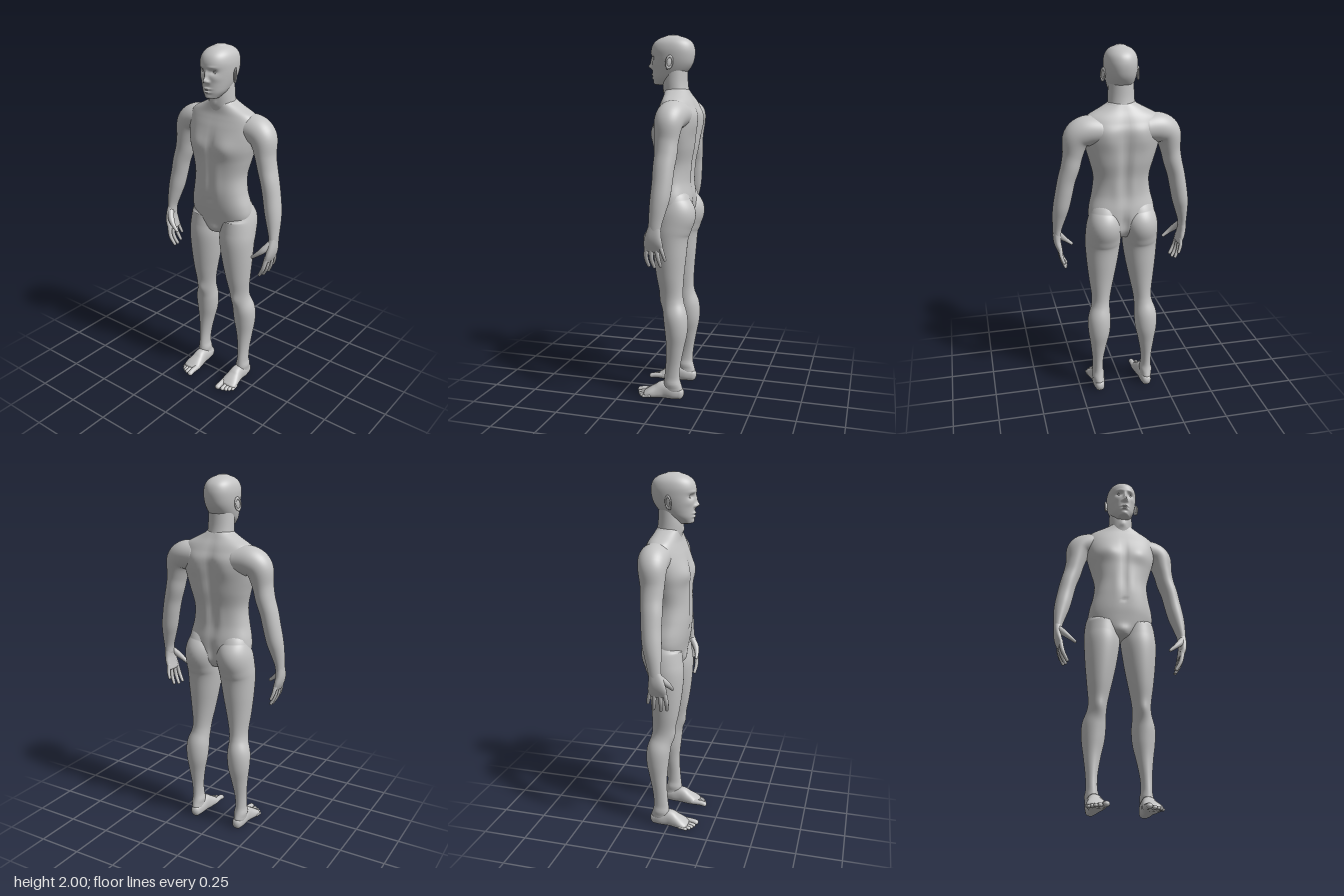
import * as THREE from 'three';
import { mergeGeometries } from 'three/addons/utils/BufferGeometryUtils.js';

const V3 = (x, y, z) => new THREE.Vector3(x, y, z);
const Y = V3(0, 1, 0), Z = V3(0, 0, 1);

// Catmull-Rom through rows of numbers
function smoothRows(rows, steps) {
  const out = [], n = rows.length, at = i => rows[Math.min(n - 1, Math.max(0, i))];
  for (let i = 0; i < n - 1; i++) {
    for (let s = 0; s < steps; s++) {
      const t = s / steps, [a, b, c, d] = [at(i - 1), at(i), at(i + 1), at(i + 2)];
      out.push(b.map((_, k) => 0.5 * (2 * b[k] + (c[k] - a[k]) * t
        + (2 * a[k] - 5 * b[k] + 4 * c[k] - d[k]) * t * t
        + (3 * b[k] - a[k] - 3 * c[k] + d[k]) * t * t * t)));
    }
  }
  out.push(rows[n - 1].slice());
  return out;
}

// Skin over cross-sections [x, y, z, side radius, depth radius] with rounded ends
function loft(rows, { ref = Z, axis = null, sides = 40, steps = 6, cap = 0.9, power = 2, shape = null } = {}) {
  const s = smoothRows(rows, steps), rings = [];
  const centre = r => V3(r[0], r[1], r[2]);
  const tangent = i => axis ? axis.clone()
    : centre(s[Math.min(s.length - 1, i + 1)]).sub(centre(s[Math.max(0, i - 1)])).normalize();
  const endRing = (i, dir, k) => {
    const r = s[i], T = tangent(i), ang = k * Math.PI / 10;
    const c = centre(r).addScaledVector(T, dir * cap * Math.min(r[3], r[4]) * Math.sin(ang));
    return { c, T, a: r[3] * Math.cos(ang), b: r[4] * Math.cos(ang) };
  };
  for (let k = 5; k > 0; k--) rings.push(endRing(0, -1, k));
  s.forEach((r, i) => rings.push({ c: centre(r), T: tangent(i), a: r[3], b: r[4] }));
  for (let k = 1; k < 6; k++) rings.push(endRing(s.length - 1, 1, k));

  const pos = [], idx = [], last = rings.length - 1;
  const add = p => { if (shape) shape(p); pos.push(p.x, p.y, p.z); };
  const bend = v => Math.sign(v) * Math.abs(v) ** (2 / power);
  add(rings[0].c.clone());
  for (let i = 1; i < last; i++) {
    const { c, T, a, b } = rings[i];
    const D = ref.clone().addScaledVector(T, -ref.dot(T)).normalize();
    const S = D.clone().cross(T);
    for (let j = 0; j < sides; j++) {
      const t = j / sides * Math.PI * 2;
      add(c.clone().addScaledVector(S, a * bend(Math.cos(t))).addScaledVector(D, b * bend(Math.sin(t))));
    }
  }
  add(rings[last].c.clone());
  const id = (i, j) => 1 + i * sides + j % sides, tip = pos.length / 3 - 1;
  for (let j = 0; j < sides; j++) {
    idx.push(0, id(0, j + 1), id(0, j), tip, id(last - 2, j), id(last - 2, j + 1));
    for (let i = 0; i < last - 2; i++)
      idx.push(id(i, j), id(i, j + 1), id(i + 1, j + 1), id(i, j), id(i + 1, j + 1), id(i + 1, j));
  }
  const g = new THREE.BufferGeometry();
  g.setAttribute('position', new THREE.Float32BufferAttribute(pos, 3));
  g.setIndex(idx);
  g.computeVertexNormals();
  return g;
}

// Upright sections given as [y, half width, front z, back z]
const upright = rows => rows.map(([y, w, f, b]) => [0, y, (f + b) / 2, w, (f - b) / 2]);

// Soft bump, the same on both sides of x = 0
const bump = (p, x, y, sx, sy) => Math.exp(-(((Math.abs(p.x) - x) / sx) ** 2) - ((p.y - y) / sy) ** 2);

function mirrorX(g) {
  const m = g.clone().scale(-1, 1, 1), a = m.index.array;
  for (let i = 0; i < a.length; i += 3) [a[i], a[i + 1]] = [a[i + 1], a[i]];
  m.computeVertexNormals();
  return m;
}

export function createModel() {
  const model = new THREE.Group();
  model.name = 'humanFigure';
  const skin = new THREE.MeshStandardMaterial({ color: 0xc4c4c4 });
  skin.name = 'plain grey';
  const add = (name, g) => {
    const m = new THREE.Mesh(g, skin);
    m.name = name;
    model.add(m);
  };
  const pair = (name, g) => { add('left' + name, g); add('right' + name, mirrorX(g)); };

  // Torso with chest, navel, shoulder blades and spine furrow
  add('torso', loft(upright([
    [0.98, 0.09, 0.045, -0.1], [1.02, 0.155, 0.058, -0.125], [1.08, 0.182, 0.07, -0.132],
    [1.14, 0.18, 0.08, -0.13], [1.22, 0.161, 0.086, -0.12], [1.31, 0.153, 0.085, -0.127],
    [1.40, 0.174, 0.086, -0.145], [1.47, 0.194, 0.086, -0.152], [1.53, 0.206, 0.076, -0.157],
    [1.58, 0.21, 0.062, -0.157], [1.62, 0.205, 0.047, -0.143], [1.65, 0.182, 0.037, -0.13],
    [1.68, 0.125, 0.033, -0.113], [1.705, 0.078, 0.032, -0.1],
  ]), {
    axis: Y, sides: 80, steps: 8, cap: 0.25, power: 2.3,
    shape: p => {
      if (p.z > 0) {
        p.z += 0.014 * bump(p, 0.09, 1.48, 0.06, 0.055) - 0.006 * bump(p, 0, 1.47, 0.015, 0.09)
          - 0.006 * bump(p, 0, 1.175, 0.009, 0.011) - 0.004 * bump(p, 0, 1.31, 0.01, 0.1)
          + 0.014 * bump(p, 0, 0.995, 0.035, 0.03) + 0.004 * bump(p, 0.045, 1.28, 0.025, 0.1);
      } else if (p.z < -0.05) {
        p.z += 0.016 * bump(p, 0, 1.42, 0.028, 0.2) + 0.02 * bump(p, 0, 1.05, 0.02, 0.06)
          - 0.01 * bump(p, 0.09, 1.54, 0.05, 0.07) - 0.004 * bump(p, 0.045, 1.25, 0.025, 0.07);
      }
    },
  }));

  add('neck', loft(upright([
    [1.62, 0.095, 0.025, -0.125], [1.67, 0.08, 0.036, -0.109], [1.70, 0.073, 0.042, -0.099],
    [1.75, 0.07, 0.045, -0.092], [1.83, 0.066, 0.04, -0.09],
  ]), { axis: Y, cap: 0.3, shape: p => { if (p.z > 0) p.z += 0.007 * bump(p, 0, 1.705, 0.012, 0.015); } }));

  // Head with brow, nose, cheeks and lips
  add('head', loft(upright([
    [1.742, 0.036, 0.094, 0.01], [1.77, 0.058, 0.101, -0.045], [1.80, 0.07, 0.104, -0.085],
    [1.84, 0.08, 0.106, -0.115], [1.88, 0.086, 0.108, -0.128], [1.92, 0.087, 0.111, -0.13],
    [1.955, 0.078, 0.098, -0.118], [1.98, 0.057, 0.068, -0.088], [1.994, 0.028, 0.028, -0.045],
  ]), {
    axis: Y, sides: 128, steps: 12, cap: 0.22, power: 2.15,
    shape: p => {
      if (p.z < 0.04) return;
      p.z += 0.022 * bump(p, 0, 1.834, 0.011, 0.014) + 0.012 * bump(p, 0, 1.862, 0.009, 0.024)
        + 0.009 * bump(p, 0.014, 1.828, 0.007, 0.008) - 0.013 * bump(p, 0.033, 1.878, 0.019, 0.013)
        + 0.004 * bump(p, 0.032, 1.901, 0.024, 0.008) + 0.004 * bump(p, 0.05, 1.845, 0.02, 0.018)
        + 0.01 * bump(p, 0, 1.792, 0.02, 0.006) + 0.01 * bump(p, 0, 1.773, 0.018, 0.006)
        + 0.006 * bump(p, 0, 1.747, 0.02, 0.012);
    },
  }));

  // Eyes with upper and lower lids
  const lid = (y, r) => loft([[0.017, 1.876, 0.087, r, r], [0.025, y, 0.092, r, r],
    [0.038, y, 0.089, r, r], [0.049, 1.878, 0.079, r, r]], { sides: 10 });
  pair('Eye', new THREE.SphereGeometry(0.013, 24, 16).scale(1.1, 0.75, 1).translate(0.033, 1.877, 0.077));
  pair('Eyelids', mergeGeometries([lid(1.885, 0.0026), lid(1.87, 0.0022)]));

  // Ears: shell, rim and lobe, the back edge turned outwards
  pair('Ear', mergeGeometries([
    new THREE.SphereGeometry(1, 24, 16).scale(0.007, 0.03, 0.017),
    new THREE.TorusGeometry(0.017, 0.0045, 12, 32).rotateY(Math.PI / 2).scale(1, 1.75, 1).translate(0.004, 0.002, 0),
    new THREE.SphereGeometry(0.009, 16, 12).scale(0.7, 1, 0.9).translate(0.002, -0.028, 0.005),
  ]).rotateX(-0.15).rotateY(0.45).translate(0.09, 1.85, -0.012));

  // Arms from inside the shoulder to the wrist
  pair('Arm', loft([
    [0.12, 1.575, -0.062, 0.075, 0.085], [0.195, 1.572, -0.06, 0.08, 0.083], [0.246, 1.537, -0.055, 0.073, 0.076],
    [0.266, 1.45, -0.05, 0.055, 0.064], [0.281, 1.38, -0.05, 0.051, 0.06], [0.302, 1.31, -0.045, 0.048, 0.057],
    [0.318, 1.235, -0.042, 0.047, 0.054], [0.333, 1.16, -0.035, 0.045, 0.052], [0.345, 1.10, -0.026, 0.038, 0.045],
    [0.356, 1.03, -0.016, 0.026, 0.036], [0.358, 0.985, -0.012, 0.022, 0.033],
  ], { sides: 48, cap: 0.6 }));

  // Hands
  const digit = (...rows) => loft(rows.map(([x, y, z, r]) => [x, y, z, r, r]), { sides: 16 });
  pair('Hand', mergeGeometries([
    loft([[0.358, 1.02, -0.015, 0.022, 0.031], [0.359, 0.965, -0.006, 0.021, 0.042],
      [0.353, 0.925, -0.003, 0.019, 0.05], [0.342, 0.888, -0.002, 0.014, 0.05]], { power: 2.3 }),
    digit([0.346, 0.91, 0.033, 0.013], [0.332, 0.845, 0.042, 0.0115], [0.305, 0.795, 0.036, 0.009]),
    digit([0.346, 0.905, 0.009, 0.013], [0.335, 0.84, 0.012, 0.0115], [0.31, 0.79, 0.004, 0.009]),
    digit([0.346, 0.905, -0.017, 0.0125], [0.337, 0.845, -0.025, 0.011], [0.318, 0.798, -0.033, 0.0085]),
    digit([0.347, 0.91, -0.04, 0.0115], [0.342, 0.87, -0.052, 0.01], [0.33, 0.835, -0.06, 0.008]),
    digit([0.352, 0.99, 0.01, 0.017], [0.328, 0.955, 0.036, 0.018], [0.3, 0.927, 0.05, 0.013], [0.268, 0.9, 0.055, 0.009]),
  ]));

  // Legs from inside the pelvis to the ankle
  pair('Leg', loft([
    [0.094, 1.11, -0.045, 0.084, 0.085], [0.1, 1.05, -0.052, 0.096, 0.112], [0.104, 0.98, -0.037, 0.099, 0.107],
    [0.106, 0.92, -0.025, 0.098, 0.1], [0.111, 0.81, -0.024, 0.086, 0.09], [0.1165, 0.70, -0.027, 0.069, 0.077],
    [0.121, 0.60, -0.036, 0.053, 0.064], [0.126, 0.54, -0.046, 0.053, 0.061], [0.136, 0.47, -0.062, 0.065, 0.067],
    [0.139, 0.39, -0.067, 0.062, 0.063], [0.143, 0.30, -0.062, 0.046, 0.05], [0.146, 0.20, -0.052, 0.032, 0.042],
    [0.146, 0.12, -0.046, 0.03, 0.044], [0.144, 0.055, -0.05, 0.033, 0.056],
  ], {
    sides: 56,
    shape: p => {
      if (p.z > -0.03) p.z += 0.01 * bump(p, 0.122, 0.555, 0.03, 0.04);
      p.x += 0.006 * bump(p, 0.176, 0.09, 0.02, 0.018) - 0.006 * bump(p, 0.115, 0.1, 0.02, 0.018);
    },
  }));

  // Feet with a flat sole and five toes
  const flat = p => { p.y = Math.max(p.y, 0); };
  const toes = [[0.107, 0.017, 0.155], [0.136, 0.0125, 0.148], [0.156, 0.0115, 0.139], [0.172, 0.011, 0.128], [0.186, 0.01, 0.112]];
  pair('Foot', mergeGeometries([
    loft([[0.142, 0.032, -0.088, 0.028, 0.034], [0.142, 0.038, -0.05, 0.036, 0.042], [0.14, 0.045, 0, 0.037, 0.05],
      [0.14, 0.034, 0.04, 0.044, 0.04], [0.142, 0.025, 0.075, 0.051, 0.029], [0.143, 0.018, 0.1, 0.05, 0.02]],
    { ref: Y, power: 2.3, shape: flat }),
    ...toes.map(([x, r, z]) => loft([[x, r + 0.006, 0.075, r, r], [x, r + 0.004, z - 0.025, r * 0.9, r * 0.9],
      [x, r - 0.001, z, r, r * 0.85]], { ref: Y, sides: 18, shape: flat })),
  ]));

  return model;
}
